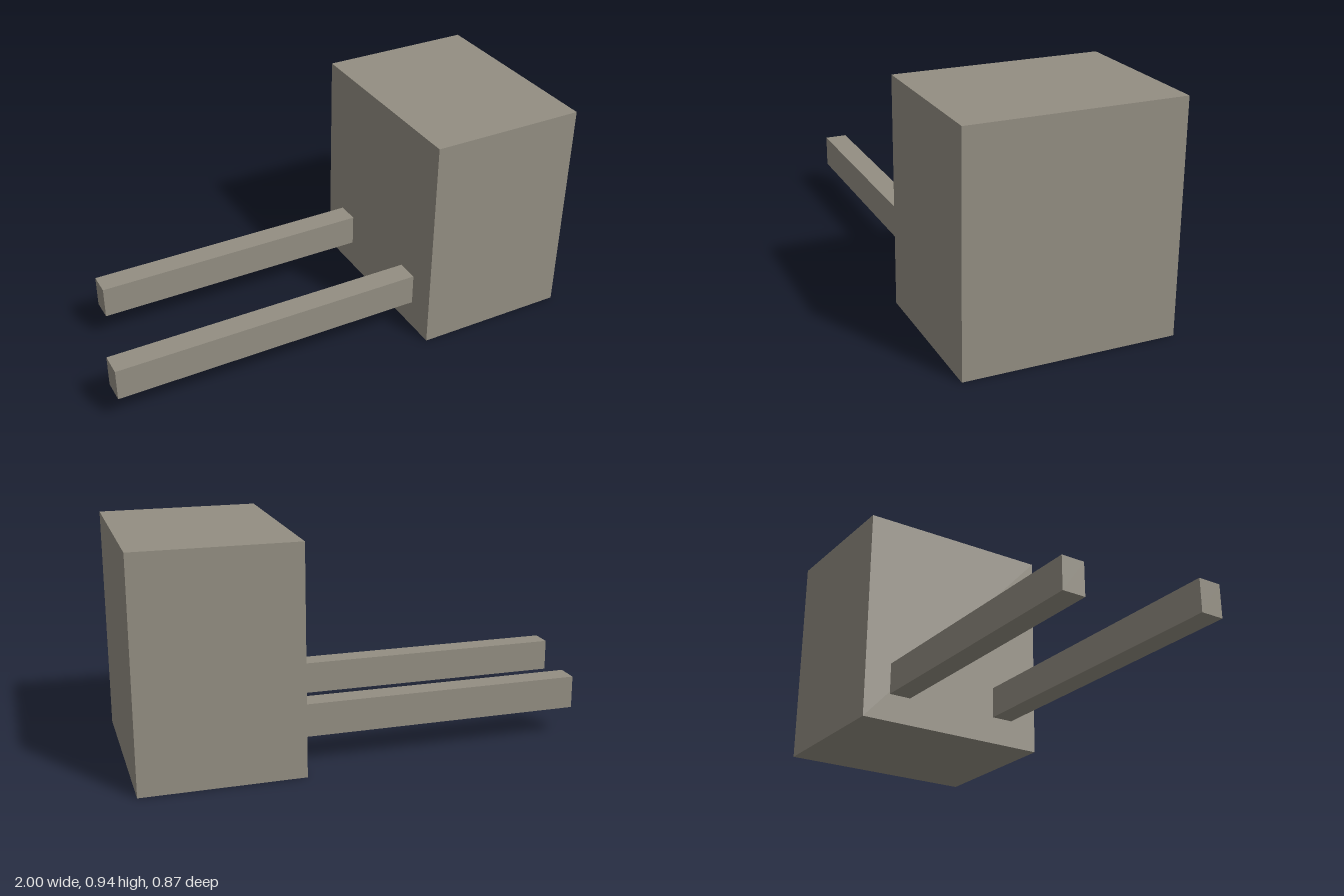
import * as THREE from 'three';

export function createModel() {
  const model = new THREE.Group();
  const stone = new THREE.MeshStandardMaterial({ color: 0x938e82 });
  stone.name = 'warm grey';

  // Box spanning two opposite corners
  function block(name, [x0, y0, z0], [x1, y1, z1]) {
    const mesh = new THREE.Mesh(new THREE.BoxGeometry(x1 - x0, y1 - y0, z1 - z0), stone);
    mesh.position.set((x0 + x1) / 2, (y0 + y1) / 2, (z0 + z1) / 2);
    mesh.name = name;
    model.add(mesh);
  }

  // Main body
  const face = 0.336;
  block('body', [face, 0, -0.433], [1, 0.942, 0.433]);

  // Two bars reaching out from the side; the rear one is shorter
  block('frontBar', [-1, 0.121, 0.208], [face, 0.258, 0.306]);
  block('rearBar', [-0.867, 0.121, -0.312], [face, 0.258, -0.214]);

  return model;
}
